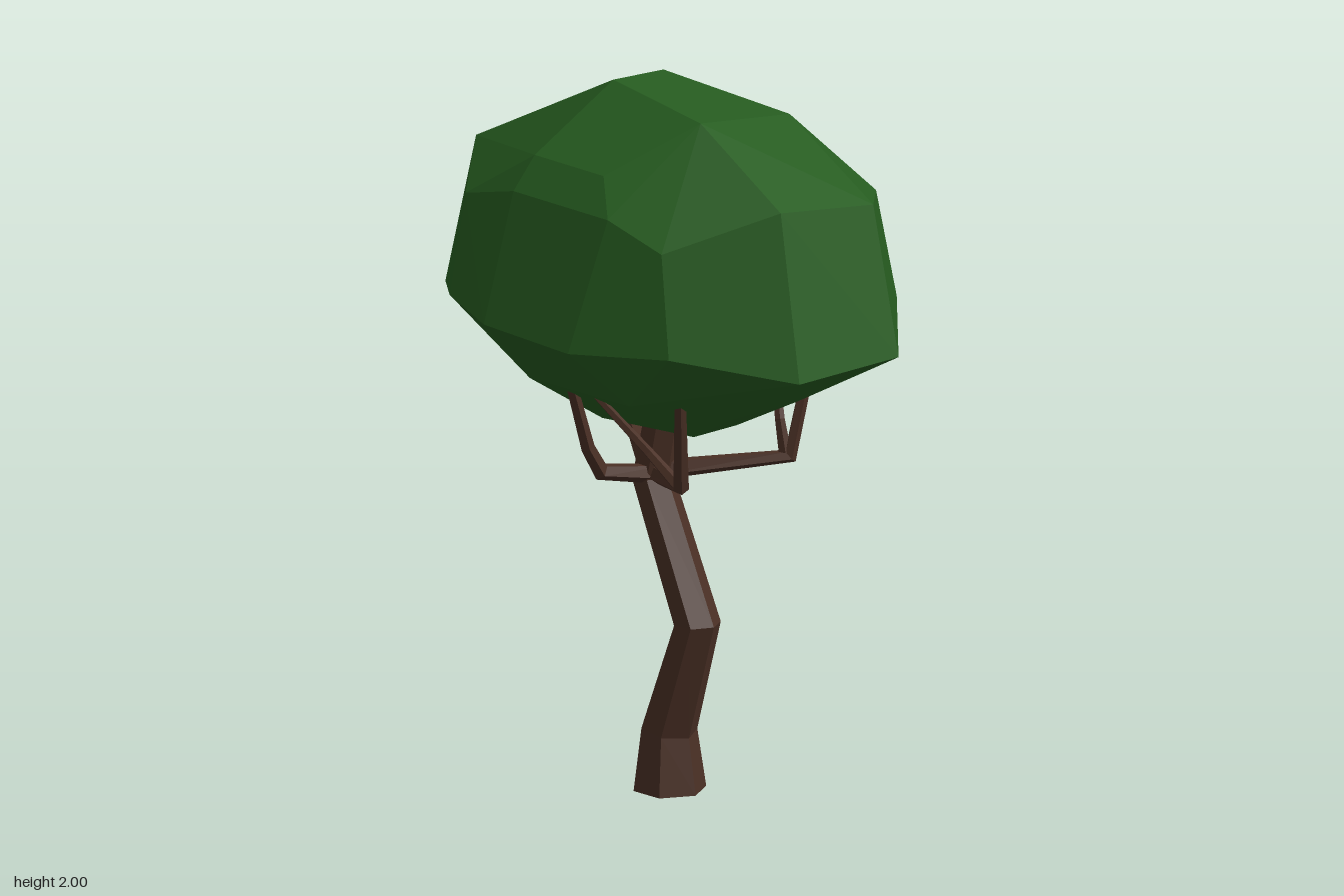
import * as THREE from 'three';
import { ConvexGeometry } from 'three/addons/geometries/ConvexGeometry.js';

const bark = new THREE.MeshStandardMaterial({ color: 0x4a3025, flatShading: true });
const leaf = new THREE.MeshStandardMaterial({ color: 0x265c20, flatShading: true });
const V = (a) => new THREE.Vector3(...a);

// Faceted limb: one polygon ring per path point, mitred at the bends, capped at both ends
function limb(name, path, radii, sides, sideAxis) {
  const p = path.map(V), n = p.length;
  const dirs = p.slice(1).map((q, i) => q.clone().sub(p[i]).normalize());
  const side = sideAxis ? V(sideAxis) : new THREE.Vector3().crossVectors(V([0, 1, 0]), dirs[0]).normalize();
  const pos = [], idx = [];
  p.forEach((c, i) => {
    const t = dirs[Math.max(i - 1, 0)].clone().add(dirs[Math.min(i, n - 2)]).normalize();
    const u = new THREE.Vector3().crossVectors(side, t).normalize();
    const v = new THREE.Vector3().crossVectors(t, u);
    for (let j = 0; j < sides; j++) {
      const a = (j / sides) * Math.PI * 2;
      const q = c.clone().addScaledVector(u, Math.cos(a) * radii[i]).addScaledVector(v, Math.sin(a) * radii[i]);
      pos.push(q.x, q.y, q.z);
    }
  });
  for (let j = 0; j < sides; j++) {
    const k = (j + 1) % sides;
    for (let i = 0; i < n - 1; i++) {
      const a = i * sides + j, b = i * sides + k;
      idx.push(a, b, a + sides, b, b + sides, a + sides);
    }
    if (j > 0 && k > 0) {
      const e = (n - 1) * sides;
      idx.push(0, k, j, e, e + j, e + k);
    }
  }
  const g = new THREE.BufferGeometry();
  g.setAttribute('position', new THREE.Float32BufferAttribute(pos, 3));
  g.setIndex(idx);
  const flat = g.toNonIndexed();
  flat.computeVertexNormals();
  const mesh = new THREE.Mesh(flat, bark);
  mesh.name = name;
  return mesh;
}

export function createModel() {
  const tree = new THREE.Group();
  tree.name = 'tree';

  // Crooked hexagonal trunk, ending inside the crown
  tree.add(limb('trunk',
    [[-0.008, 0, 0], [-0.01, 0.17, 0], [0.1, 0.49, 0], [-0.075, 0.87, 0], [-0.02, 1.12, 0]],
    [0.101, 0.078, 0.065, 0.058, 0.05], 6, [0, 0, 1]));

  // Branches: out from the fork, then bent upwards; some split at the elbow
  const branches = [
    ['rightBranch', [[-0.08, 0.87, 0], [-0.32, 0.96, -0.15], [-0.37, 1.2, -0.18]]],
    ['frontBranch', [[-0.06, 0.88, 0], [-0.08, 0.92, 0.19], [-0.08, 1.0, 0.24], [-0.08, 1.22, 0.31]]],
    ['leftBranch', [[-0.06, 0.88, 0], [0.235, 0.945, 0.19], [0.305, 1.24, 0.26]]],
    ['leftTwig', [[0.22, 0.95, 0.19], [0.14, 1.03, 0.22], [0.02, 1.21, 0.33]]],
    ['backBranch', [[-0.06, 0.89, 0], [0.19, 0.93, -0.26], [0.21, 1.24, -0.33]]],
    ['backTwig', [[0.18, 0.94, -0.25], [0.16, 1.03, -0.25], [0.08, 1.22, -0.3]]],
  ];
  for (const [name, path] of branches) {
    const r = name.endsWith('Twig') ? 0.018 : 0.029;
    tree.add(limb(name, path, path.map((_, i) => r * (1 - 0.45 * i / (path.length - 1))), 5));
  }
  tree.add(limb('upperStub', [[-0.03, 0.98, 0], [-0.21, 1.02, -0.13], [-0.24, 1.1, -0.15]], [0.035, 0.028, 0.02], 5));

  // Faceted crown: corner points by layer, joined as a hull
  const rim = [
    [-0.7, 1.32, 0.18], [-0.66, 1.33, -0.23], [-0.41, 1.4, -0.45], [-0.13, 1.38, -0.545],
    [0.16, 1.39, -0.545], [0.43, 1.4, -0.43], [0.69, 1.335, -0.19], [0.69, 1.335, 0.18],
    [0.44, 1.4, 0.43], [0.16, 1.38, 0.54], [-0.17, 1.39, 0.54], [-0.41, 1.4, 0.44],
  ];
  const shoulder = [
    [-0.59, 1.755, 0.17], [-0.59, 1.75, -0.18], [-0.4, 1.7, -0.39], [-0.17, 1.73, -0.43],
    [0.19, 1.72, -0.44], [0.37, 1.69, -0.41], [0.58, 1.74, -0.2], [0.585, 1.79, 0.15],
    [0.38, 1.68, 0.4], [0.19, 1.74, 0.42], [-0.18, 1.74, 0.42], [-0.4, 1.68, 0.39],
  ];
  const top = [
    [-0.17, 1.83, 0.35], [0.1, 1.83, 0.35], [-0.17, 1.82, -0.35], [0.1, 1.83, -0.36],
    [-0.125, 2, 0.1], [0.26, 1.97, 0.14], [0.22, 1.91, -0.23], [-0.17, 1.97, -0.13],
  ];
  const underside = [];
  for (const s of [-1, 1]) {
    underside.push([-0.37, 1.125, 0.13 * s], [-0.2, 1.19, 0.34 * s], [0.2, 1.2, 0.35 * s],
      [0.36, 1.15, 0.13 * s], [-0.2, 1.02, 0.07 * s], [0.17, 1.05, 0.08 * s]);
  }
  const crown = new THREE.Mesh(new ConvexGeometry([...rim, ...shoulder, ...top, ...underside].map(V)), leaf);
  crown.name = 'crown';
  tree.add(crown);
  return tree;
}
